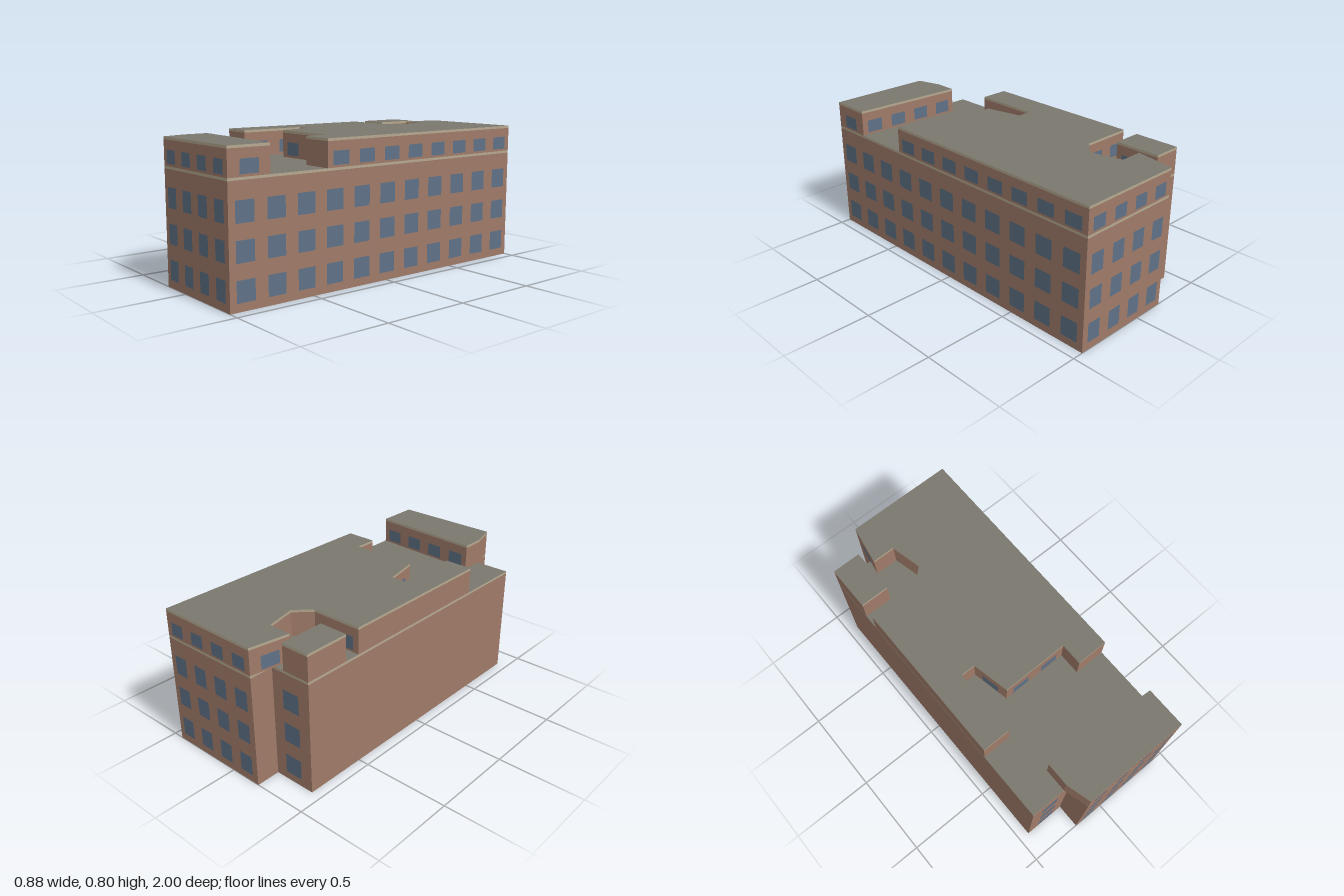
import * as THREE from 'three';
import { mergeGeometries } from 'three/addons/utils/BufferGeometryUtils.js';

const mat = (name, color, side = THREE.FrontSide) =>
  Object.assign(new THREE.MeshStandardMaterial({ color, side }), { name });

const W = 0.438; // half width of the building

// Floor plans as [x, z] corners, all wound the same way
const BASE = [[-0.19, -1], [W, -1], [W, 1], [-0.19, 1], [-0.19, 0.855],
  [-W, 0.855], [-W, -0.86], [-0.19, -0.86]];
const FRONT_BLOCK = [[-0.23, 0.72], [W, 0.76], [W, 1], [-0.19, 1], [-0.23, 0.855]];
const MAIN_BLOCK = [[-0.19, -1], [W, -1], [W, 0.41], [0.255, 0.41], [0.255, 0.28],
  [-0.14, 0.28], [-0.185, 0.065], [-0.27, 0.065], [-0.27, 0.455], [-W, 0.455],
  [-W, -0.505], [-0.14, -0.505], [-0.053, -0.59], [-0.095, -0.77], [-0.23, -0.77]];
const REAR_BLOCK = [[-W, -0.86], [-0.27, -0.86], [-0.27, -0.595], [-W, -0.595]];

export function createModel() {
  const brick = mat('brick', 0xa07b69, THREE.DoubleSide);
  const trim = mat('trim', 0xb5a88f, THREE.DoubleSide);
  const roofing = mat('roofing', 0x7a776e, THREE.DoubleSide);
  const glass = mat('glass', 0x5f7186);

  // Upright rectangle on the wall a-b, centred at fraction t along it
  function panel(a, b, t, width, y0, y1, out = 0) {
    const dx = b[0] - a[0], dz = b[1] - a[1], len = Math.hypot(dx, dz);
    const nx = dz / len, nz = -dx / len;
    return new THREE.PlaneGeometry(width, y1 - y0)
      .rotateY(Math.atan2(nx, nz))
      .translate(a[0] + dx * t + nx * out, (y0 + y1) / 2, a[1] + dz * t + nz * out);
  }

  // Walls, trim band, flat roof and rows of windows on one plan
  function block(name, plan, y0, y1, rows) {
    const group = new THREE.Group();
    group.name = name;
    const walls = [], bands = [], panes = [];
    const bandY = y1 - 0.014;
    plan.forEach((a, i) => {
      const b = plan[(i + 1) % plan.length];
      const len = Math.hypot(b[0] - a[0], b[1] - a[1]);
      walls.push(panel(a, b, 0.5, len, y0, bandY));
      bands.push(panel(a, b, 0.5, len, bandY, y1));

      // Short walls and the straight party wall on the -x side stay blank
      const partyWall = a[0] === -W && b[0] === -W;
      if (len < 0.2 || partyWall) return;
      const n = Math.round(len / 0.175);
      const width = Math.min(0.107, len / n - 0.07);
      for (const [low, high] of rows)
        for (let k = 0; k < n; k++)
          panes.push(panel(a, b, (k + 0.5) / n, width, low, high, 0.002));
    });
    const shape = new THREE.Shape(plan.map(([x, z]) => new THREE.Vector2(x, -z)));
    const roof = new THREE.ShapeGeometry(shape).rotateX(-Math.PI / 2).translate(0, y1, 0);
    const add = (part, geometry, material) => {
      const mesh = new THREE.Mesh(geometry, material);
      mesh.name = part;
      group.add(mesh);
    };
    add('walls', mergeGeometries(walls), brick);
    add('trimBand', mergeGeometries(bands), trim);
    add('roof', roof, roofing);
    add('windows', mergeGeometries(panes), glass);
    return group;
  }

  const model = new THREE.Group();
  model.name = 'building';
  const lowerRows = [[0.045, 0.157], [0.24, 0.351], [0.433, 0.544]];
  const upperRows = [[0.665, 0.739]];
  model.add(
    block('lowerFloors', BASE, 0, 0.652, lowerRows),
    block('frontTopFloor', FRONT_BLOCK, 0.652, 0.804, upperRows),
    block('mainTopFloor', MAIN_BLOCK, 0.652, 0.804, upperRows),
    block('rearTopFloor', REAR_BLOCK, 0.652, 0.804, upperRows),
  );
  return model;
}
